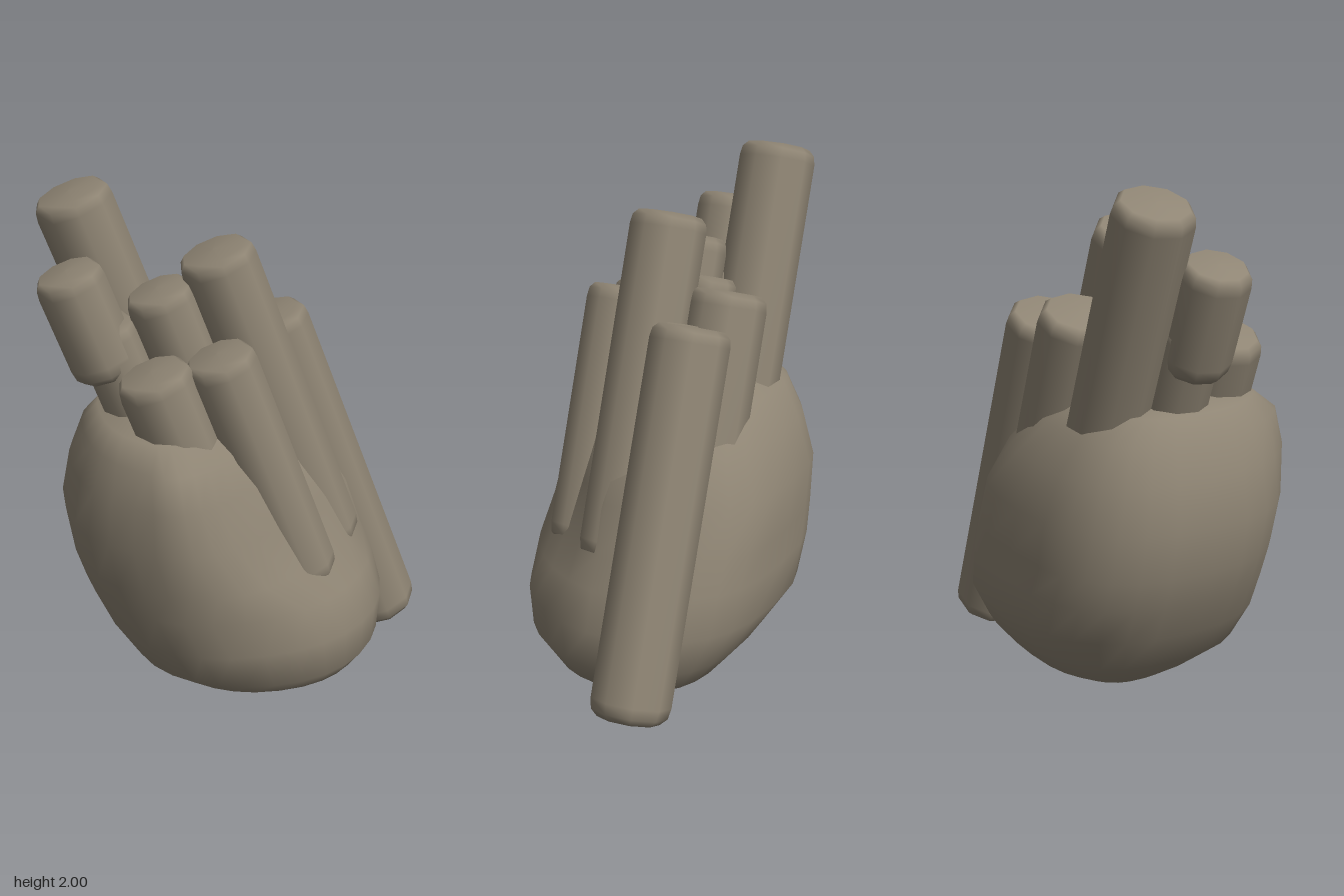
import * as THREE from 'three';

// Crystal column: a rounded-rim, many-sided prism between two points
function column(top, bottom, r, material) {
  const a = new THREE.Vector3(...bottom), b = new THREE.Vector3(...top);
  const dir = b.clone().sub(a), len = dir.length();
  const profile = [
    [0, 0], [r * 0.78, 0.005], [r * 0.95, 0.03], [r, 0.07],
    [r, len - 0.06], [r * 0.96, len - 0.025], [r * 0.82, len - 0.004], [0, len],
  ].map(([x, y]) => new THREE.Vector2(x, y));
  const mesh = new THREE.Mesh(new THREE.LatheGeometry(profile, 9), material);
  mesh.position.copy(a);
  mesh.quaternion.setFromUnitVectors(new THREE.Vector3(0, 1, 0), dir.normalize());
  return mesh;
}

// Boulder: stacked rounded rings, squarer at the back, the front right side drawn in
function boulderGeometry() {
  // y, left x, right x, back z, front z, front right pull
  const rings = [
    [0.0, -0.13, 0.09, -0.08, 0.12, 0.02],
    [0.03, -0.2, 0.28, -0.2, 0.22, 0.02],
    [0.1, -0.31, 0.48, -0.34, 0.34, 0.03],
    [0.2, -0.44, 0.55, -0.42, 0.46, 0.06],
    [0.35, -0.54, 0.56, -0.51, 0.49, 0.06],
    [0.5, -0.61, 0.52, -0.52, 0.49, 0.09],
    [0.62, -0.65, 0.47, -0.52, 0.5, 0.19],
    [0.8, -0.68, 0.41, -0.51, 0.51, 0.26],
    [0.97, -0.65, 0.31, -0.45, 0.5, 0.25],
    [1.1, -0.6, 0.14, -0.38, 0.46, 0.17],
    [1.18, -0.54, -0.05, -0.27, 0.36, 0.08],
  ];
  const n = 28, pos = [], index = [];
  const soft = (v, e) => Math.sign(v) * Math.abs(v) ** e;
  rings.forEach(([y, x0, x1, z0, z1, pull], i) => {
    const cx = (x0 + x1) / 2, rx = (x1 - x0) / 2;
    for (let j = 0; j < n; j++) {
      const t = (j / n) * Math.PI * 2, e = Math.sin(t) > 0 ? 0.9 : 0.74;
      const c = soft(Math.cos(t), e), s = soft(Math.sin(t), e);
      const lump = 1 + 0.01 * Math.sin(3 * t + i * 1.7);
      const inset = pull * Math.max(0, s) * Math.max(0, 0.6 + c);
      pos.push(cx + rx * c - inset, y, (s > 0 ? z1 : -z0) * s * lump);
    }
  });
  for (let i = 0; i < rings.length - 1; i++) {
    for (let j = 0; j < n; j++) {
      const k = (j + 1) % n, a = i * n + j, b = i * n + k;
      index.push(a, a + n, b, b, a + n, b + n);
    }
  }
  // Closing fans at the bottom and the top
  const last = (rings.length - 1) * n, low = pos.length / 3;
  pos.push(0, 0, 0.02, -0.3, 1.21, 0.05);
  for (let j = 0; j < n; j++) {
    const k = (j + 1) % n;
    index.push(low, j, k, low + 1, last + k, last + j);
  }
  const g = new THREE.BufferGeometry();
  g.setAttribute('position', new THREE.Float32BufferAttribute(pos, 3));
  g.setIndex(index);
  g.computeVertexNormals();
  return g;
}

export function createModel() {
  const model = new THREE.Group();
  model.name = 'rockWithColumns';
  const stone = new THREE.MeshStandardMaterial({ color: 0x8f8574 });
  stone.name = 'stone';

  const boulder = new THREE.Mesh(boulderGeometry(), stone);
  boulder.name = 'boulder';
  model.add(boulder);

  // Leaning columns: name, top centre x, y, z, bottom y, radius, lean
  [
    ['tallBackColumn', -0.595, 1.96, -0.22, 1.0, 0.147, 0.365],
    ['rightShortColumn', -0.645, 1.735, 0.0, 1.33, 0.128, 0.365],
    ['middleColumn', -0.32, 1.645, 0.0, 1.1, 0.13, 0.365],
    ['tallMiddleColumn', -0.11, 1.775, 0.0, 0.55, 0.145, 0.365],
    ['backColumn', -0.13, 1.5, -0.235, 0.7, 0.15, 0.365],
    ['frontRightColumn', -0.385, 1.415, 0.225, 1.0, 0.14, 0.365],
    ['frontLeftColumn', -0.145, 1.46, 0.22, 0.52, 0.132, 0.365],
    ['longLeftColumn', 0.14, 1.435, -0.215, 0.085, 0.15, 0.374],
    // Low rock filling the gaps between neighbouring columns
    ['rightFill', -0.52, 1.52, -0.01, 1.05, 0.12, 0.365],
    ['rearFill', -0.42, 1.5, -0.11, 1.05, 0.11, 0.365],
    ['centreFill', -0.22, 1.52, -0.11, 1.05, 0.11, 0.365],
    ['frontFill', -0.25, 1.38, 0.12, 1.05, 0.11, 0.365],
    ['leftFill', 0.02, 1.4, -0.11, 0.7, 0.12, 0.365],
    ['frontLeftFill', -0.1, 1.38, 0.11, 0.6, 0.11, 0.365],
  ].forEach(([name, x, y, z, y0, r, lean]) => {
    const mesh = column([x, y, z], [x + (y - y0) * lean, y0, z], r, stone);
    mesh.name = name;
    model.add(mesh);
  });

  return model;
}
